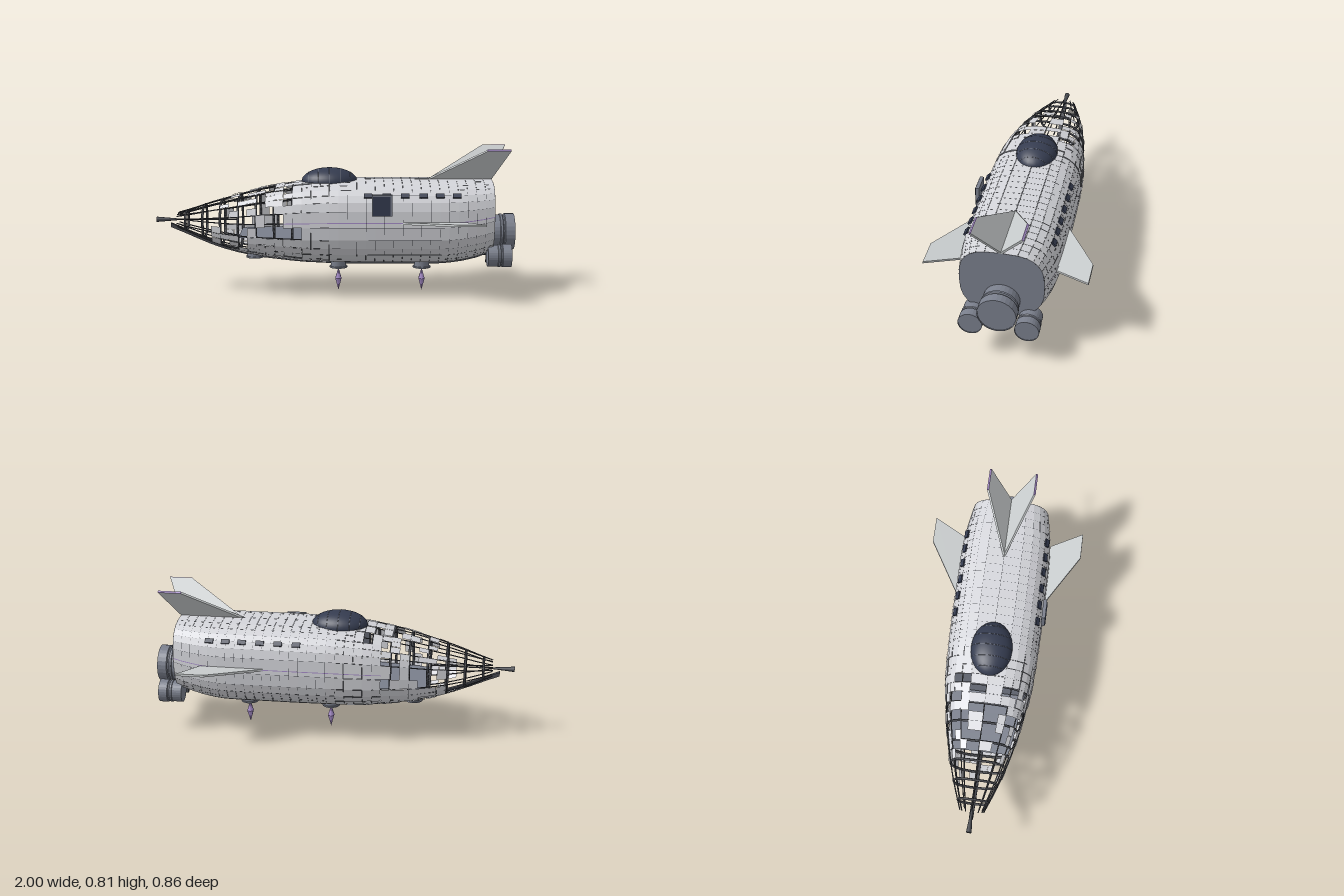
import * as THREE from 'three';

const mat = (name, color, double) => {
  const m = new THREE.MeshStandardMaterial({ color });
  m.name = name;
  if (double) m.side = THREE.DoubleSide;
  return m;
};

// Hull outline: x, half width, top y, bottom y
const PROFILE = [
  [-0.92, 0.045, 0.43, 0.38], [-0.88, 0.07, 0.445, 0.365], [-0.8, 0.1, 0.468, 0.328],
  [-0.7, 0.135, 0.502, 0.285], [-0.6, 0.163, 0.53, 0.25], [-0.5, 0.188, 0.557, 0.225],
  [-0.4, 0.208, 0.582, 0.207], [-0.2, 0.238, 0.616, 0.183], [0, 0.252, 0.633, 0.173],
  [0.2, 0.257, 0.636, 0.172], [0.6, 0.257, 0.636, 0.172], [0.7, 0.25, 0.636, 0.184],
  [0.8, 0.234, 0.636, 0.208], [0.87, 0.22, 0.636, 0.235],
];
function section(x) {
  let i = 0;
  while (i < PROFILE.length - 2 && x > PROFILE[i + 1][0]) i++;
  const a = PROFILE[i], b = PROFILE[i + 1];
  const t = (x - a[0]) / (b[0] - a[0]);
  return [1, 2, 3].map((k) => a[k] + (b[k] - a[k]) * t);
}
// Point on the rounded-box cross-section; angle 0 is the top, off moves it outward
function hullPoint(x, angle, off = 0) {
  const [w, top, bottom] = section(x);
  const c = Math.cos(angle), s = Math.sin(angle);
  const e = 2 / (c > 0 ? 3.1 : 2.5);
  const y = Math.sign(c) * Math.abs(c) ** e * ((top - bottom) / 2 + off);
  const z = Math.sign(s) * Math.abs(s) ** e * (w + off);
  return new THREE.Vector3(x, (top + bottom) / 2 + y, z);
}

const SIDES = 28, ROWS = 35, STEP = 0.05, NOSE = -0.88, SOLID = 14;
const TAU = Math.PI * 2;
const station = (i) => NOSE + i * STEP;

function quads(list) {
  const pos = [];
  for (const [a, b, c, d] of list) for (const p of [a, b, c, a, c, d]) pos.push(p.x, p.y, p.z);
  const g = new THREE.BufferGeometry();
  g.setAttribute('position', new THREE.Float32BufferAttribute(pos, 3));
  g.computeVertexNormals();
  return g;
}
// One patch of hull between two stations and two angles
const patch = (x0, x1, a0, a1, off) => [
  hullPoint(x0, a0, off), hullPoint(x0, a1, off), hullPoint(x1, a1, off), hullPoint(x1, a0, off)];
// Shrink a patch a little so a hairline joint remains around it
const shrink = (q, k) => {
  const mid = new THREE.Vector3();
  q.forEach((p) => mid.addScaledVector(p, 0.25));
  return q.map((p) => p.clone().lerp(mid, k));
};

export function createModel() {
  const plating = mat('plating', 0xd4d5da, true);
  const slate = mat('slate', 0x7a7f8c, true);
  const frame = mat('dark frame', 0x46484e, true);
  const glass = mat('dark glass', 0x353c50);
  const violet = mat('violet', 0xa88ecb, true);
  const finMat = mat('fin grey', 0xcacecf);
  const root = new THREE.Group();
  const add = (name, geo, m, x = 0, y = 0, z = 0) => {
    const mesh = new THREE.Mesh(geo, m);
    mesh.name = name;
    mesh.position.set(x, y, z);
    root.add(mesh);
    return mesh;
  };
  let seed = 11;
  const rand = () => (seed = (seed * 16807) % 2147483647) / 2147483647;

  // Plating: complete aft, thinning out over the open nose
  const panels = [], inner = [];
  for (let i = 0; i < ROWS; i++) {
    for (let j = 0; j < SIDES; j++) {
      const a0 = (j / SIDES) * TAU, a1 = ((j + 1) / SIDES) * TAU;
      const x0 = station(i), x1 = station(i + 1);
      if (i >= SOLID) inner.push(patch(x0, x1, a0, a1, -0.005));
      const low = Math.cos((a0 + a1) / 2) < -0.25;
      const chance = i >= SOLID ? 1 : low ? (i - 2) / 6 : (i - 3) / 13;
      if (rand() > chance) continue;
      const lift = i < SOLID + 3 ? rand() * 0.005 : 0;
      panels.push(shrink(patch(x0, x1, a0, a1, lift), 0.02));
    }
  }
  add('hullPlating', quads(panels), plating);
  add('innerHull', quads(inner), frame);

  // Stern plate and forward bulkhead
  for (const [name, x, off] of [['sternPlate', 0.87, 0], ['bulkhead', station(SOLID) + 0.01, -0.008]]) {
    const tris = [];
    const [, top, bottom] = section(x);
    const mid = new THREE.Vector3(x, (top + bottom) / 2, 0);
    for (let j = 0; j < SIDES; j++) {
      const p = hullPoint(x, (j / SIDES) * TAU, off), q = hullPoint(x, ((j + 1) / SIDES) * TAU, off);
      tris.push([mid, q, p, mid]);
    }
    add(name, quads(tris), slate);
  }

  // Deck inside the nose
  const deck = [];
  for (let i = 7; i < SOLID; i++) {
    const x0 = station(i), x1 = station(i + 1);
    const w0 = section(x0)[0] * 0.85, w1 = section(x1)[0] * 0.85;
    deck.push([[x0, -w0], [x0, w0], [x1, w1], [x1, -w1]].map(([x, z]) => new THREE.Vector3(x, 0.33, z)));
  }
  add('deck', quads(deck), slate);

  // Ribs and stringers of the bare nose
  const tube = (pts, n, r, closed) =>
    new THREE.TubeGeometry(new THREE.CatmullRomCurve3(pts, closed), n, r, 4, closed);
  for (let i = 1; i <= SOLID; i += 2) {
    const pts = [];
    for (let j = 0; j < SIDES; j++) pts.push(hullPoint(station(i), (j / SIDES) * TAU, -0.007));
    add('rib', tube(pts, 56, 0.007, true), frame);
  }
  for (let j = 0; j < SIDES; j += 2) {
    const pts = [];
    for (let i = 0; i <= SOLID; i++) pts.push(hullPoint(station(i), (j / SIDES) * TAU, -0.004));
    add('stringer', tube(pts, 16, 0.0032, false), frame);
  }

  // Keel strip along the belly
  const keel = [];
  for (let i = 0; i < 24; i++) {
    const xs = [-0.92 + i * 0.0746, -0.92 + (i + 1) * 0.0746];
    const [a, b] = xs.map((x) => {
      const y = section(x)[2];
      return [[y + 0.006, 0.011], [y - 0.017, 0.011], [y - 0.017, -0.011], [y + 0.006, -0.011]]
        .map(([py, z]) => new THREE.Vector3(x, py, z));
    });
    for (let k = 0; k < 4; k++) keel.push([a[k], a[(k + 1) % 4], b[(k + 1) % 4], b[k]]);
  }
  add('keel', quads(keel), frame);
  add('keelEnd', new THREE.BoxGeometry(0.02, 0.07, 0.02), frame, 0.86, 0.195, 0);

  // Nose probe
  add('noseProbe', new THREE.CylinderGeometry(0.005, 0.015, 0.12, 10).rotateZ(-Math.PI / 2), frame, -0.94, 0.405, 0);
  add('noseRod', new THREE.CylinderGeometry(0.004, 0.004, 0.36, 6).rotateZ(Math.PI / 2), frame, -0.72, 0.405, 0);

  // Canopy bubble with hoops
  const dome = new THREE.SphereGeometry(1, 28, 12, 0, TAU, 0, Math.PI / 2).scale(0.155, 0.075, 0.113);
  add('canopy', dome, glass, -0.03, 0.624, 0);
  for (const t of [-0.75, -0.4, 0, 0.4, 0.75]) {
    const k = Math.sqrt(1 - t * t), pts = [];
    for (let i = 0; i <= 12; i++) {
      const a = (i / 12) * Math.PI;
      pts.push(new THREE.Vector3(t * 0.155, Math.sin(a) * 0.075 * k, Math.cos(a) * 0.113 * k));
    }
    add('canopyHoop', tube(pts, 20, 0.0014, false), slate, -0.03, 0.624, 0);
  }

  // Fins: swept plates, rotated about the long axis
  const fin = (name, pts, angle, y, z, m = finMat, depth = 0.012) => {
    const shape = new THREE.Shape(pts.map(([a, b]) => new THREE.Vector2(a, b)));
    const geo = new THREE.ExtrudeGeometry(shape, { depth, bevelEnabled: false });
    add(name, geo.translate(0, 0, -depth / 2).rotateX(angle), m, 0, y, z);
  };
  for (const s of [1, -1]) {
    fin('tailFin', [[0.52, 0], [0.87, 0], [0.96, 0.216], [0.83, 0.216]], s * 0.639, 0.635, 0);
    fin('tailFinTrim', [[0.83, 0.216], [0.96, 0.216], [0.961, 0.219], [0.832, 0.219]],
      s * 0.639, 0.635, 0, violet);
    fin('sideFin', [[0.35, 0], [0.71, 0], [0.8, 0.18], [0.65, 0.18]], s * 1.457, 0.428, s * 0.25);
    // Thin side stripe
    const stripe = [];
    for (let i = SOLID - 2; i < ROWS; i++) {
      stripe.push(patch(station(i), station(i + 1), s * 1.533, s * 1.542, 0.004));
    }
    add('sideStripe', quads(stripe), violet);
    // Windows
    for (const x of [0.18, 0.28, 0.38, 0.48, 0.57, 0.66]) {
      const w = add('window', new THREE.BoxGeometry(0.045, 0.026, 0.009), glass, x, 0.575, s * 0.229);
      w.rotation.x = -s * 0.75;
    }
  }

  // Door in its frame
  add('doorFrame', new THREE.BoxGeometry(0.11, 0.118, 0.02), slate, 0.255, 0.528, 0.258);
  add('door', new THREE.BoxGeometry(0.094, 0.106, 0.009), glass, 0.253, 0.523, 0.268);

  // Engines: banded drums with a recessed lip
  const engine = (name, x, y, z, r, len) => {
    const prof = [[0, 0], [0.93, 0], [0.93, 0.42], [0.98, 0.44], [0.98, 0.52], [0.92, 0.55],
      [0.92, 0.6], [1, 0.63], [1, 1], [0.96, 1], [0.96, 0.97], [0, 0.97]];
    const pts = prof.map(([a, b]) => new THREE.Vector2(a * r, b * len));
    const geo = new THREE.LatheGeometry(pts, 28).toNonIndexed();
    geo.computeVertexNormals();
    add(name, geo.rotateZ(-Math.PI / 2), slate, x, y, z);
  };
  engine('mainEngine', 0.86, 0.338, 0, 0.102, 0.14);
  engine('smallEngine', 0.84, 0.23, 0.147, 0.064, 0.13);
  engine('smallEngine', 0.84, 0.23, -0.147, 0.064, 0.13);

  // Belly pads and hanging crystals
  for (const [x, y] of [[-0.45, 0.19], [0.02, 0.132], [0.49, 0.132]]) {
    add('bellyPad', new THREE.CylinderGeometry(0.043, 0.043, 0.05, 20), slate, x, y + 0.03, 0);
    add('padRim', new THREE.CylinderGeometry(0.05, 0.05, 0.008, 20), slate, x, y + 0.004, 0);
    add('padSocket', new THREE.CylinderGeometry(0.03, 0.03, 0.004, 20), frame, x, y - 0.001, 0);
    if (x < 0) continue;
    add('crystalTop', new THREE.ConeGeometry(0.02, 0.062, 6), violet, x, 0.099, 0);
    add('crystalTip', new THREE.ConeGeometry(0.02, 0.068, 6).rotateX(Math.PI), violet, x, 0.034, 0);
  }
  return root;
}
